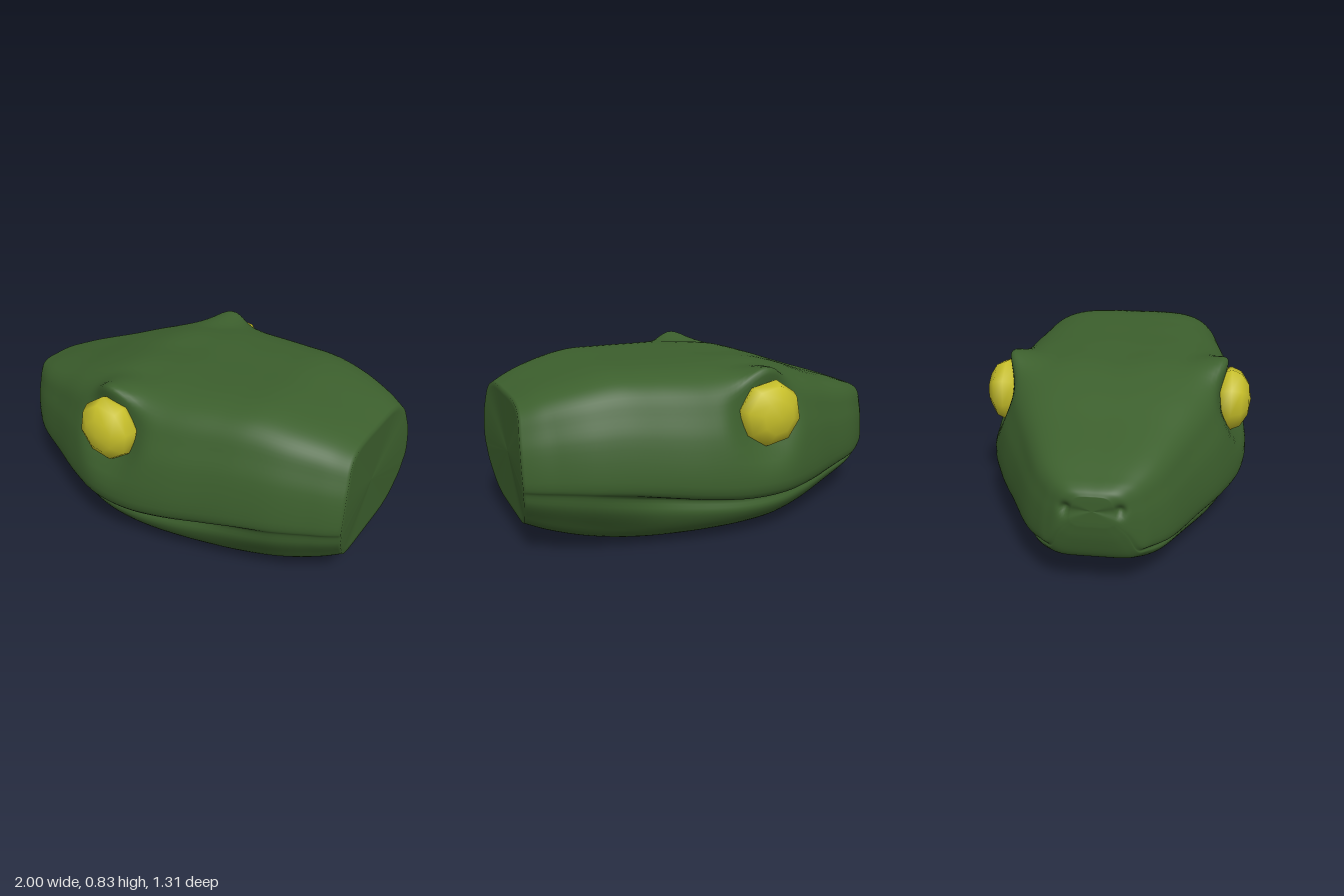
import * as THREE from 'three';

const V = (x, y, z = 0) => new THREE.Vector3(x, y, z);

// Stations from snout to neck: x, top y, bottom y, mouth y, half width, mouth groove 0..1
const STATIONS = [
  [-1.0, 0.515, 0.38, 0.40, 0.09, 0],
  [-0.985, 0.535, 0.30, 0.34, 0.15, 0.1],
  [-0.955, 0.553, 0.215, 0.255, 0.20, 0.6],
  [-0.91, 0.57, 0.178, 0.235, 0.25, 0.9],
  [-0.8, 0.61, 0.13, 0.215, 0.335, 1],
  [-0.6, 0.675, 0.08, 0.207, 0.44, 1],
  [-0.4, 0.745, 0.04, 0.2, 0.545, 1],
  [-0.2, 0.80, 0.015, 0.2, 0.625, 1],
  [0.0, 0.815, 0.008, 0.21, 0.65, 1],
  [0.2, 0.822, 0.004, 0.235, 0.632, 1],
  [0.4, 0.83, 0.005, 0.27, 0.59, 0.8],
  [0.57, 0.832, 0.022, 0.305, 0.553, 0.3],
  [0.73, 0.803, 0.055, 0.33, 0.51, 0],
  [0.88, 0.76, 0.10, 0.34, 0.44, 0],
  [0.97, 0.72, 0.137, 0.345, 0.375, 0],
];
const EYE = V(-0.115, 0.612, 0.555);
const ROWS = 112, HALF = 52;

// Half of a cross-section, from top centre round the lip to bottom centre
function halfSection(x, t, b, m, w, g) {
  const h = t - m, k = h / 0.6, j = m - b;
  const brow = Math.exp(-Math.pow((x - EYE.x + 0.01) / 0.14, 2));
  const mix = (a, c) => a + (c - a) * brow;
  const groove = (open, cut) => (open + (cut - open) * g) * w;
  return new THREE.CatmullRomCurve3([
    V(0, t - 0.01 * brow),
    V(0.3 * w, t),
    V(0.55 * w, t - 0.012 * k),
    V(mix(0.71, 0.73) * w, mix(t - 0.045 * k, t + 0.005)),
    V(mix(0.81, 0.84) * w, mix(t - 0.1 * k, t + 0.008)),
    V(mix(0.88, 0.895) * w, mix(t - 0.19 * k, t - 0.05)),
    V(0.95 * w, m + 0.5 * h),
    V(w, m + 0.16 * h),
    V(groove(0.99, 0.965) * 1, m + 0.05 * h),
    V(groove(0.96, 0.85), m),
    V(groove(0.93, 0.87), m - 0.25 * j),
    V(0.81 * w, b + 0.42 * j),
    V(0.7 * w, b + 0.17 * j),
    V(0.53 * w, b + 0.03 * j),
    V(0, b),
  ]).getPoints(HALF);
}

// Eye socket and nostril dents
function dent(p) {
  const socket = Math.hypot(p.x - EYE.x, p.y - EYE.y) / 0.18;
  if (p.z > 0.3) p.z -= 0.065 * Math.exp(-Math.pow(socket, 4));
  const nostril = p.distanceTo(V(-0.985, 0.45, 0.11)) / 0.025;
  p.x += 0.03 * Math.exp(-nostril * nostril);
  return p;
}

function headGeometry() {
  const curve = (f) => new THREE.CatmullRomCurve3(STATIONS.map(f), false, 'catmullrom', 0.5);
  const outline = curve(s => V(s[0], s[1], s[2]));
  const lips = curve(s => V(s[3], s[4], s[5]));
  const rings = [];
  for (let i = 0; i <= ROWS; i++) {
    const a = outline.getPoint(i / ROWS), c = lips.getPoint(i / ROWS);
    const rear = THREE.MathUtils.smoothstep(a.x, 0.85, 0.97);
    const half = halfSection(a.x, a.y, a.z, c.x, c.y, THREE.MathUtils.clamp(c.z, 0, 1)).map(q => {
      const bulge = 0.03 * rear * (1 - Math.pow((q.y - 0.43) / 0.3, 2));
      return dent(V(a.x + bulge, q.y, q.x));
    });
    const mirrored = half.slice(1, -1).reverse().map(p => V(p.x, p.y, -p.z));
    rings.push([...half, ...mirrored]);
  }
  // Close both ends by shrinking the end rings
  const shrink = (ring, s, x, y) => ring.map(p => V(x + (p.x - x) * s, y + (p.y - y) * s, p.z * s));
  const first = rings[0], last = rings[ROWS];
  rings.unshift(shrink(first, 0, -1, 0.45), shrink(first, 0.6, -1, 0.45));
  rings.push(shrink(last, 0.93, 0.972, 0.43), shrink(last, 0.5, 0.972, 0.43), shrink(last, 0, 0.972, 0.43));

  const n = first.length, index = [];
  for (let i = 0; i < rings.length - 1; i++) {
    for (let j = 0; j < n; j++) {
      const a = i * n + j, b = i * n + (j + 1) % n;
      index.push(a, b, a + n, b, b + n, a + n);
    }
  }
  const geometry = new THREE.BufferGeometry().setFromPoints(rings.flat());
  geometry.setIndex(index);
  geometry.computeVertexNormals();
  return geometry;
}

export function createModel() {
  const model = new THREE.Group();
  model.name = 'reptileHead';

  const head = new THREE.Mesh(headGeometry(), new THREE.MeshStandardMaterial({ color: 0x3c5f2d }));
  head.name = 'head';
  model.add(head);

  // Low-sided eyes with the pole facing outwards
  const eyeMaterial = new THREE.MeshStandardMaterial({ color: 0xc8c02a });
  const eyeGeometry = new THREE.SphereGeometry(0.16, 8, 6).rotateX(Math.PI / 2).rotateZ(0.2).scale(1, 1, 0.63);
  for (const side of [1, -1]) {
    const eye = new THREE.Mesh(eyeGeometry, eyeMaterial);
    eye.name = side > 0 ? 'frontEye' : 'backEye';
    eye.position.set(EYE.x, EYE.y, side * EYE.z);
    model.add(eye);
  }
  return model;
}
